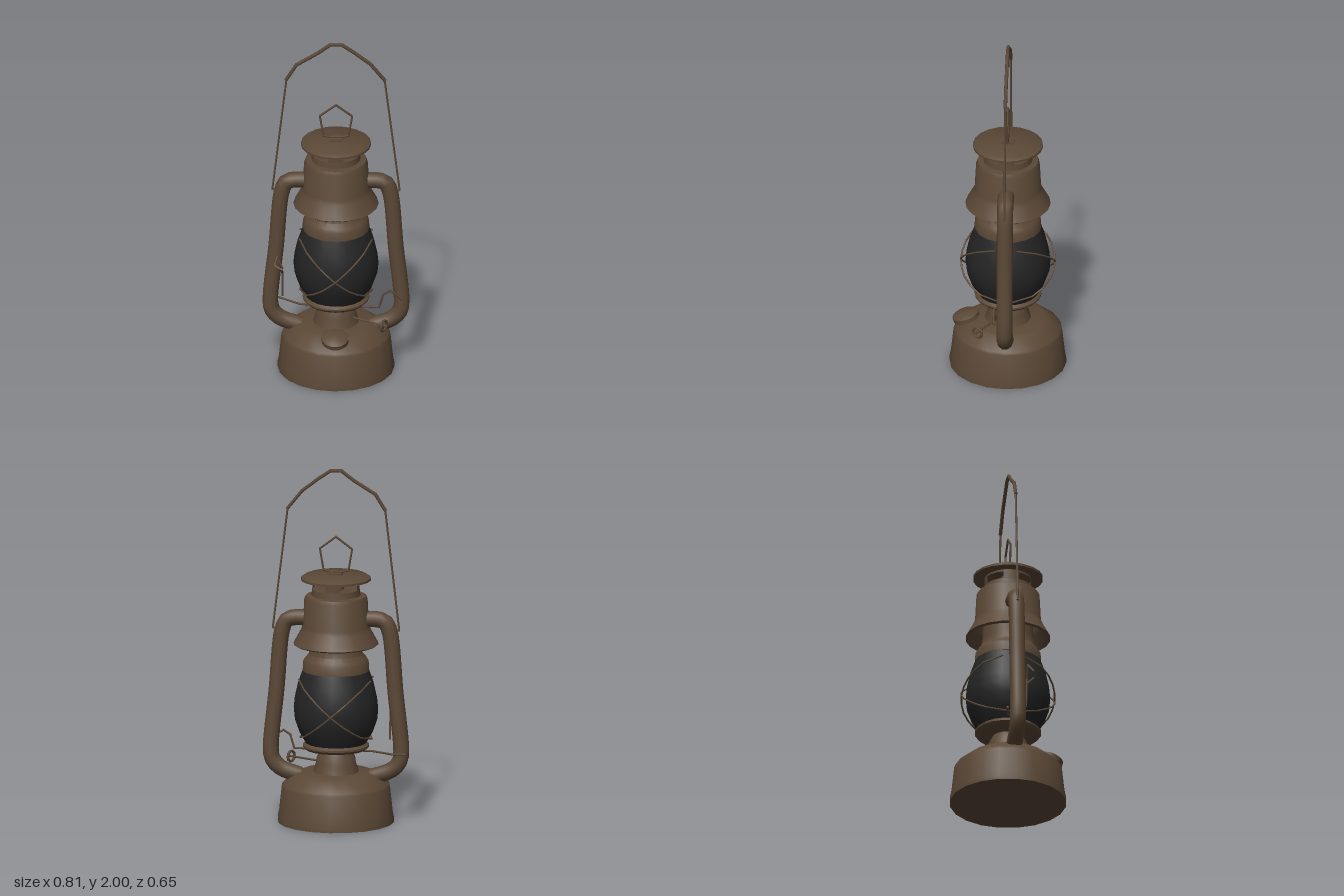
import * as THREE from 'three';
import { mergeGeometries, toCreasedNormals } from 'three/addons/utils/BufferGeometryUtils.js';

const SIDES = 20;
const V = (p) => new THREE.Vector3(...p);

export function createModel() {
  const group = new THREE.Group();
  const metal = new THREE.MeshStandardMaterial({ color: 0x5b4836, side: THREE.DoubleSide });
  metal.name = 'aged brown metal';
  const glass = new THREE.MeshStandardMaterial({ color: 0x242425, side: THREE.DoubleSide });
  glass.name = 'smoked dark glass';

  const add = (name, geometry, material = metal) => {
    const mesh = new THREE.Mesh(geometry, material);
    mesh.name = name;
    group.add(mesh);
    return mesh;
  };
  // Turned part from [radius, height] pairs, listed bottom to top
  const turn = (name, profile, material) => {
    const g = new THREE.LatheGeometry(profile.map(([r, y]) => new THREE.Vector2(r, y)), SIDES);
    return add(name, toCreasedNormals(g, 0.6), material);
  };
  // Bent wire made of straight lengths
  const wire = (name, points, radius = 0.006) => {
    const parts = [];
    for (let i = 0; i < points.length - 1; i++) {
      const a = V(points[i]), b = V(points[i + 1]);
      const dir = b.clone().sub(a);
      const g = new THREE.CylinderGeometry(radius, radius, dir.length() + radius, 6);
      g.applyQuaternion(new THREE.Quaternion().setFromUnitVectors(new THREE.Vector3(0, 1, 0), dir.normalize()));
      g.translate(...a.add(b).multiplyScalar(0.5).toArray());
      parts.push(g);
    }
    return add(name, mergeGeometries(parts));
  };

  // Fuel tank and burner
  turn('fuelTank', [[0, 0.01], [0.31, 0.01], [0.325, 0], [0.325, 0.02], [0.317, 0.06], [0.302, 0.2],
    [0.295, 0.215], [0.225, 0.27], [0.2, 0.28], [0, 0.285]]);
  turn('burner', [[0.13, 0.27], [0.125, 0.29], [0.112, 0.33], [0.108, 0.36], [0.085, 0.405]]);
  turn('globeGallery', [[0, 0.4], [0.12, 0.4], [0.17, 0.41], [0.185, 0.425], [0.185, 0.435], [0.165, 0.45]]);

  // Glass globe
  const globe = [[0.165, 0.44], [0.205, 0.51], [0.23, 0.58], [0.236, 0.64], [0.23, 0.7], [0.212, 0.78], [0.182, 0.865]];
  turn('globe', globe, glass);

  // Chimney collar, hood and vented top
  turn('chimneyCollar', [[0.17, 0.855], [0.186, 0.857], [0.183, 0.905], [0.172, 0.925], [0.15, 0.95], [0.143, 1.0], [0.14, 1.09]]);
  turn('hood', [[0.225, 1.0], [0.237, 1.008], [0.225, 1.03], [0.195, 1.085], [0.185, 1.11], [0.177, 1.26],
    [0.168, 1.28], [0.135, 1.285]]);
  turn('ventFloor', [[0.137, 1.28], [0.133, 1.318], [0.05, 1.32]]);
  turn('ventCore', [[0.045, 1.3], [0.045, 1.38]]);
  for (let i = 0; i < 4; i++) {
    const post = add('ventPost', new THREE.CylinderGeometry(0.13, 0.13, 0.075, 4, 1, true, i * Math.PI / 2 - 0.34, 0.68));
    post.position.y = 1.347;
  }
  turn('ventTopRing', [[0.13, 1.36], [0.13, 1.385]]);
  turn('topCap', [[0, 1.375], [0.14, 1.372], [0.195, 1.37], [0.195, 1.382], [0.17, 1.397], [0, 1.402]]);

  // Lifting ring on the cap
  wire('liftingRing', [[-0.035, 1.415, 0], [-0.07, 1.425, 0], [-0.09, 1.545, 0], [0, 1.613, 0], [0.09, 1.545, 0],
    [0.07, 1.425, 0], [0.035, 1.415, 0], [-0.035, 1.415, 0]]);
  const ringPlate = add('ringPlate', new THREE.BoxGeometry(0.07, 0.02, 0.07));
  ringPlate.position.y = 1.402;

  // Side air tubes
  for (const s of [-1, 1]) {
    const path = new THREE.CatmullRomCurve3([[0.16, 1.15], [0.23, 1.15], [0.275, 1.135], [0.3, 1.08], [0.332, 0.74],
      [0.364, 0.4], [0.355, 0.345], [0.31, 0.295], [0.2, 0.255]].map(([x, y]) => V([s * x, y, 0])));
    add(s > 0 ? 'leftAirTube' : 'rightAirTube', new THREE.TubeGeometry(path, 36, 0.045, 10));
  }

  // Carrying handle: thin wire legs and a flattened grip
  wire('handle', [[-0.335, 1.085, 0], [-0.353, 1.09, 0], [-0.275, 1.77, 0], [-0.22, 1.86, 0], [-0.1, 1.935, 0],
    [-0.03, 1.99, 0], [0.03, 1.99, 0], [0.1, 1.94, 0], [0.19, 1.87, 0], [0.27, 1.77, 0], [0.353, 1.09, 0], [0.335, 1.085, 0]]);
  wire('handleGrip', [[-0.275, 1.77, 0], [-0.22, 1.86, 0], [-0.1, 1.935, 0], [-0.03, 1.988, 0], [0.03, 1.988, 0],
    [0.1, 1.94, 0], [0.19, 1.87, 0], [0.27, 1.77, 0]], 0.01);

  // Crossed guard wires on the front and back of the globe
  const globeRadius = (y) => {
    let i = 0;
    while (i < globe.length - 2 && globe[i + 1][1] < y) i++;
    const [[r0, y0], [r1, y1]] = [globe[i], globe[i + 1]];
    return r0 + (r1 - r0) * (y - y0) / (y1 - y0);
  };
  for (const face of [-1, 1]) {
    for (const slope of [-1, 1]) {
      const points = [];
      for (let i = 0; i <= 10; i++) {
        const t = i / 5 - 1;
        const y = 0.64 + slope * t * 0.17;
        const r = globeRadius(y) + 0.008 + 0.018 * (1 - t * t);
        const x = 0.2 * t;
        points.push([x, y, face * Math.sqrt(Math.max(r * r - x * x, 0))]);
      }
      wire('globeGuard', points, 0.005);
    }
  }

  // Tilted filler cap on the tank
  const filler = turn('fillerCap', [[0.055, -0.06], [0.055, -0.01], [0.075, 0], [0.075, 0.025], [0.055, 0.037], [0, 0.04]]);
  filler.position.set(0, 0.265, 0.23);
  filler.rotation.x = 0.3;

  // Wick control stem and knob
  wire('wickStem', [[0.09, 0.325, 0.05], [0.285, 0.325, 0.165]]);
  const knob = add('wickKnob', new THREE.TorusGeometry(0.03, 0.008, 6, 10));
  knob.position.set(0.268, 0.325, 0.155);
  knob.rotation.y = 1.04;

  // Globe lifting rod and lever
  wire('liftRod', [[-0.4, 0.4, -0.065], [-0.32, 0.395, -0.05], [-0.2, 0.393, 0.03], [0.24, 0.393, 0.06], [0.262, 0.47, 0.06],
    [0.3, 0.495, 0.06], [0.325, 0.48, 0.06], [0.37, 0.44, 0.06]]);
  wire('liftLever', [[-0.295, 0.46, 0.055], [-0.297, 0.63, 0.06], [-0.325, 0.7, 0.06], [-0.34, 0.66, 0.09],
    [-0.3, 0.64, 0.103], [-0.297, 0.6, 0.06]]);

  return group;
}
